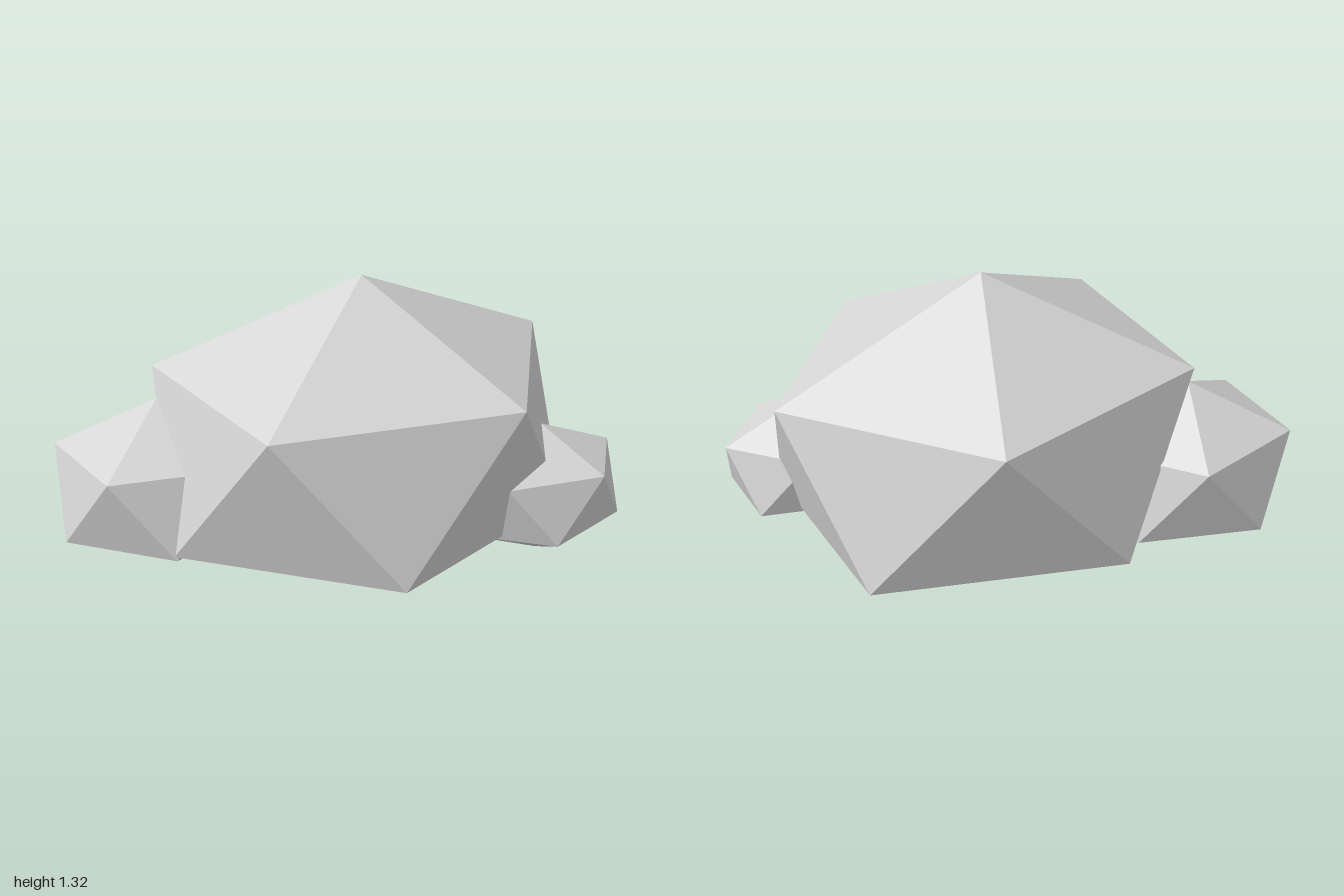
import * as THREE from 'three';

export function createModel() {
  const group = new THREE.Group();
  group.name = 'rockCluster';

  const stone = new THREE.MeshStandardMaterial({ color: 0xd5d5d5, flatShading: true });
  stone.name = 'pale stone grey';

  // A stretched icosahedron standing on one of its points
  const tilt = -Math.atan(2 / (1 + Math.sqrt(5)));
  function addRock(name, radii, centre) {
    const geometry = new THREE.IcosahedronGeometry(1, 0);
    geometry.rotateZ(tilt);
    geometry.scale(...radii);
    const rock = new THREE.Mesh(geometry, stone);
    rock.name = name;
    rock.position.set(...centre);
    group.add(rock);
  }

  addRock('mainBoulder', [0.93, 0.658, 0.812], [0.11, 0.658, 0.007]);
  addRock('frontLeftRock', [0.382, 0.268, 0.308], [0.657, 0.466, 0.435]);
  addRock('backRightRock', [0.459, 0.347, 0.424], [-0.59, 0.505, -0.342]);

  return group;
}
